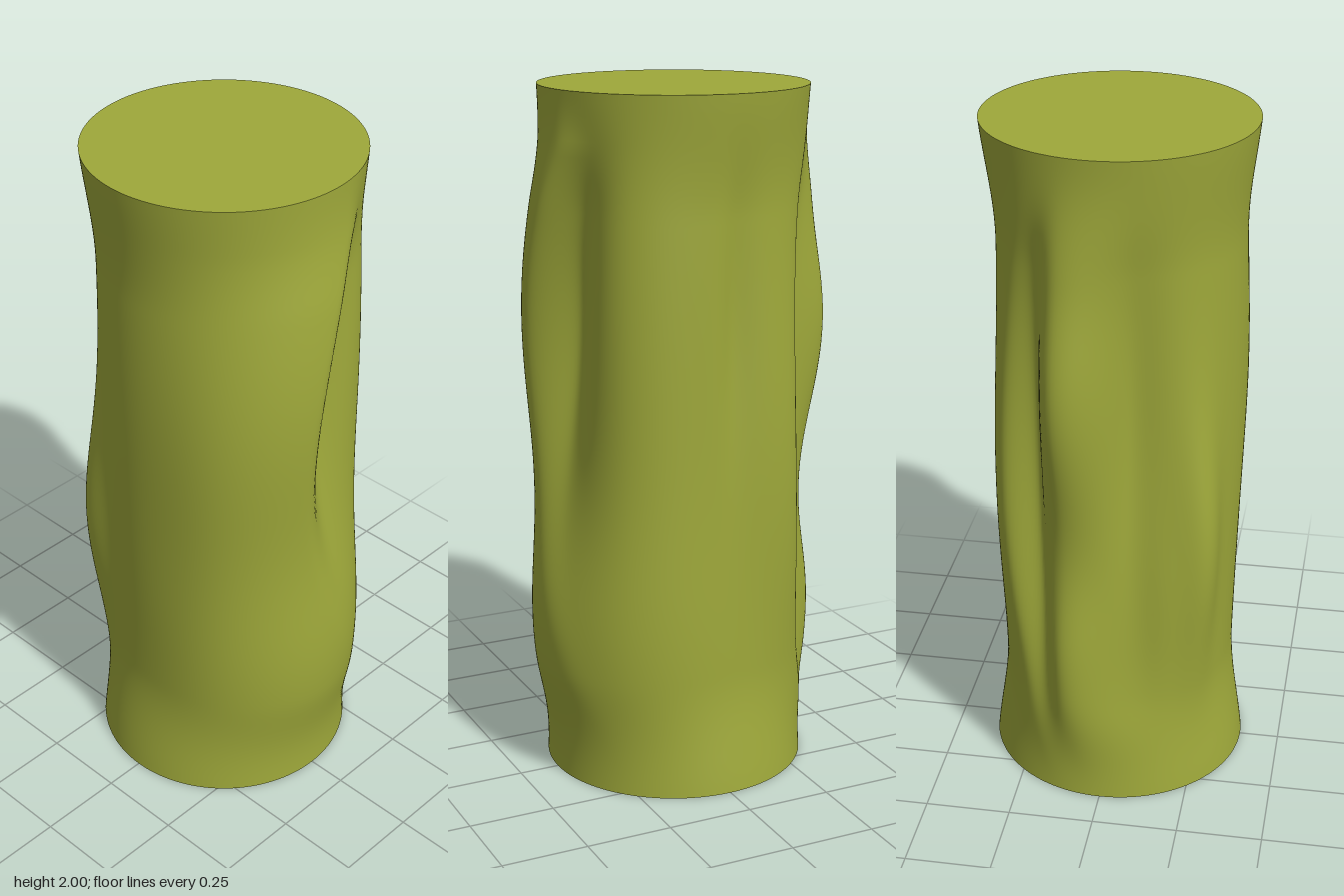
import * as THREE from 'three';
import { mergeVertices } from 'three/addons/utils/BufferGeometryUtils.js';

const HEIGHT = 2, END_RADIUS = 0.382, MID_RADIUS = 0.345;

// The front fold leans sideways with height; the side back rib bows
const lean = (y) => 46 * (Math.min(y, 1.85) - 1.15) ** 2;
const bow = (y) => 23 * (y - 1.1) ** 2;

// Swellings (+) and furrows (-) in the bark: angle in degrees from the front towards +x,
// height, half height, widths on the lower and higher angle sides, amount, sideways curve
const swells = [
  { a: -13, y: 1.38, sy: 0.42, w: [35, 8], h: 0.09, curve: lean },  // front fold
  { a: 6, y: 1.33, sy: 0.27, w: [7, 11], h: -0.045, curve: lean },  // furrow beside the fold
  { a: -48, y: 1.05, sy: 0.42, w: [16, 18], h: 0.018 },             // outer flank of the fold
  { a: 46, y: 1.3, sy: 0.55, w: [16, 20], h: 0.038 },               // front side swelling
  { a: 0, y: 0.42, sy: 0.28, w: [38, 42], h: 0.079 },               // front foot swelling
  { a: -90, y: 1.25, sy: 0.45, w: [32, 25], h: 0.008 },
  { a: -90, y: 0.35, sy: 0.25, w: [20, 20], h: -0.012 },
  { a: 90, y: 0.8, sy: 0.55, w: [15, 15], h: -0.012 },
  { a: 95, y: 1.38, sy: 0.27, w: [5, 8], h: -0.022 },               // side furrow
  { a: 129, y: 0.9, sy: 0.48, w: [17, 6], h: 0.043, curve: bow },   // side back rib
  { a: 143, y: 1.05, sy: 0.42, w: [6, 5], h: -0.034, curve: bow },  // deep back furrow
  { a: 165, y: 1.31, sy: 0.28, w: [8, 12], h: 0.098 },              // back knot, upper
  { a: 165, y: 0.46, sy: 0.2, w: [8, 11], h: 0.061 },               // back knot, lower
  { a: 172, y: 1.82, sy: 0.15, w: [22, 25], h: 0.026 },             // back, near the cuts
  { a: 172, y: 0.18, sy: 0.13, w: [22, 25], h: 0.026 },
  { a: 196, y: 1.2, sy: 0.36, w: [8, 11], h: -0.038 },              // far back furrow
  { a: 211, y: 0.65, sy: 0.22, w: [7, 7], h: 0.02 },                // far back ribs
  { a: 227, y: 0.8, sy: 0.28, w: [8, 9], h: 0.063 },
];

const bell = (d, s) => Math.exp(-(d * d) / (2 * s * s));

// Eases from 0 at a cut to 1 on the trunk, starting at full slope
function flare(d) {
  const start = THREE.MathUtils.smoothstep(0, -0.1, 0.34);
  return (THREE.MathUtils.smoothstep(d, -0.1, 0.34) - start) / (1 - start);
}

function trunkRadius(angle, y) {
  let r = MID_RADIUS;
  for (const s of swells) {
    const centre = s.a + (s.curve ? s.curve(y) : 0);
    const d = THREE.MathUtils.euclideanModulo(angle - centre + 180, 360) - 180;
    r += s.h * bell(d, d < 0 ? s.w[0] : s.w[1]) * bell(y - s.y, s.sy);
  }
  // The trunk returns to a true circle at both cuts
  return THREE.MathUtils.lerp(END_RADIUS, r, flare(y) * flare(HEIGHT - y));
}

function trunkGeometry() {
  let geo = new THREE.CylinderGeometry(1, 1, HEIGHT, 240, 90, true);
  geo.translate(0, HEIGHT / 2, 0);
  geo.deleteAttribute('uv');
  geo.deleteAttribute('normal');
  geo = mergeVertices(geo);
  const p = geo.attributes.position;
  for (let i = 0; i < p.count; i++) {
    const angle = Math.atan2(p.getX(i), p.getZ(i));
    const r = trunkRadius(THREE.MathUtils.radToDeg(angle), p.getY(i));
    p.setXYZ(i, r * Math.sin(angle), p.getY(i), r * Math.cos(angle));
  }
  geo.computeVertexNormals();
  return geo;
}

export function createModel() {
  const group = new THREE.Group();
  group.name = 'log';
  const bark = new THREE.MeshStandardMaterial({ color: 0x9ea83a });
  bark.name = 'olive green';

  const add = (name, geo) => {
    const mesh = new THREE.Mesh(geo, bark);
    mesh.name = name;
    group.add(mesh);
    return mesh;
  };

  add('trunk', trunkGeometry());

  // Flat cuts at both ends
  const cut = new THREE.CircleGeometry(END_RADIUS, 240);
  const top = add('topCut', cut);
  top.rotation.x = -Math.PI / 2;
  top.position.y = HEIGHT;
  add('bottomCut', cut).rotation.x = Math.PI / 2;

  return group;
}
